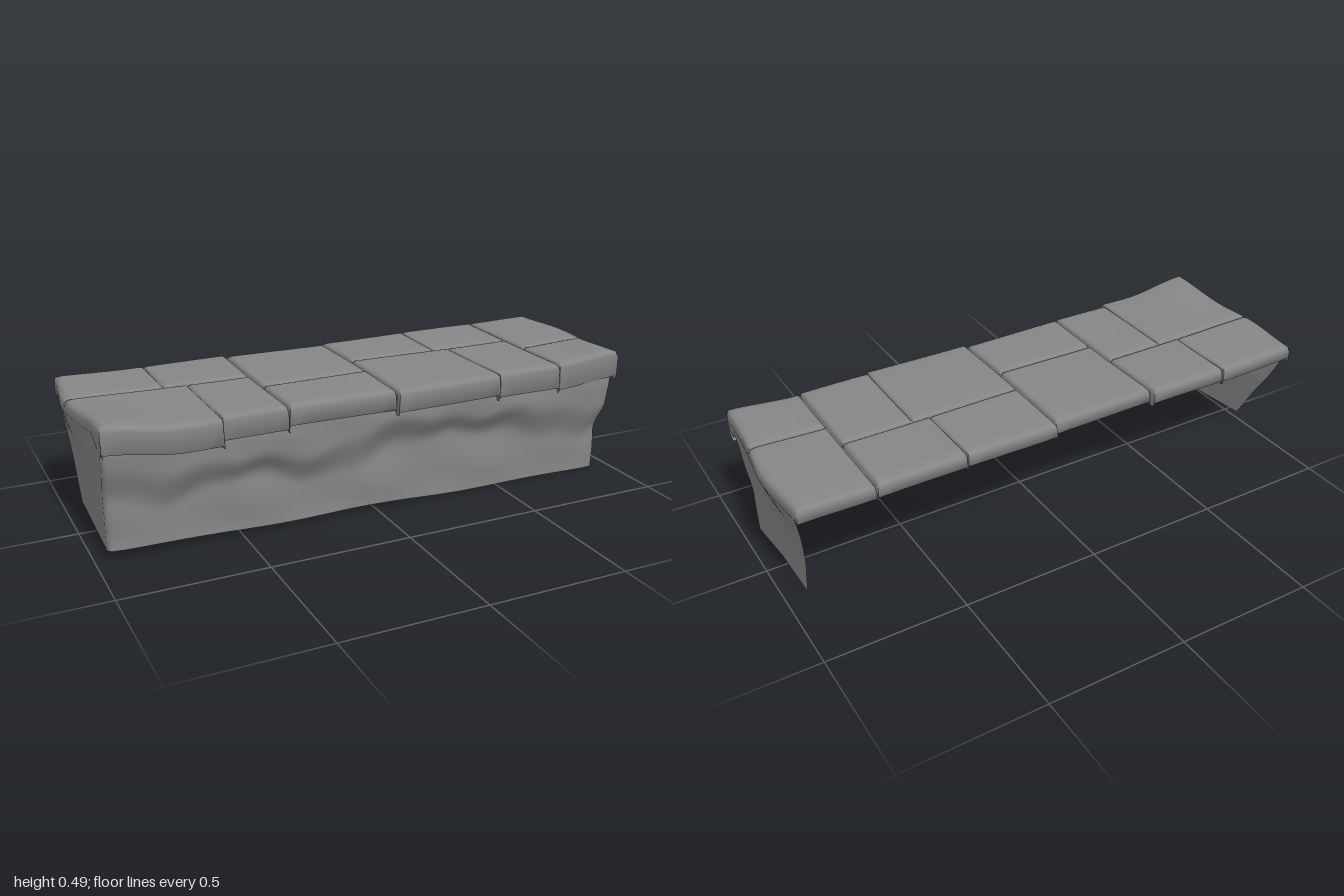
import * as THREE from 'three';

const { lerp, smoothstep } = THREE.MathUtils;
const stone = new THREE.MeshStandardMaterial({ color: 0x868686, side: THREE.DoubleSide });

// Smooth surface from a grid of points; fn(i, j) returns [x, y, z]
function gridMesh(name, nu, nv, fn) {
  const pos = [], idx = [];
  for (let i = 0; i < nu; i++) for (let j = 0; j < nv; j++) pos.push(...fn(i, j));
  for (let i = 0; i < nu - 1; i++) for (let j = 0; j < nv - 1; j++) {
    const a = i * nv + j, b = a + nv;
    idx.push(a, a + 1, b, b, a + 1, b + 1);
  }
  const g = new THREE.BufferGeometry();
  g.setAttribute('position', new THREE.Float32BufferAttribute(pos, 3));
  g.setIndex(idx);
  g.computeVertexNormals();
  const mesh = new THREE.Mesh(g, stone);
  mesh.name = name;
  return mesh;
}

// Piecewise linear lookup in [key, value] pairs sorted by rising key
function lookup(table, k) {
  if (k <= table[0][0]) return table[0][1];
  for (let i = 1; i < table.length; i++) {
    const [k0, v0] = table[i - 1], [k1, v1] = table[i];
    if (k <= k1) return lerp(v0, v1, (k - k0) / (k1 - k0));
  }
  return table[table.length - 1][1];
}

// Worn top surface, raised at the ends and most of all at the front corners
function topHeight(x, z) {
  const end = smoothstep(Math.abs(x), 0.7, 0.97);
  const corner = smoothstep(z, 0.02, 0.31) * (x < 0 ? 0.026 : 0.016);
  return 0.461 + end * (0.006 + corner) + 0.002 * Math.sin(7 * x + 1) * Math.cos(9 * z);
}

// Outward swelling of the two ends
function bulge(x, y, z) {
  const w = smoothstep(Math.abs(x), 0.75, 0.95) * smoothstep(y, 0.25, 0.42);
  return Math.sign(x) * 0.026 * w * Math.exp(-(((z + 0.09) / 0.17) ** 2));
}

// Edge profiles as [inset, drop], from the outside in
const seam = (d) => [[0, d], [0.003, d * 0.8], [0.005, d * 0.35], [0.009, d * 0.1], [0.018, 0]];
const lip = (d, inset) => [[inset, d], [0, d - 0.012], [0, 0.02], [0.006, 0.006], [0.022, 0]];

// Joints worn almost flush
const faintJoints = [-0.66, -0.58, 0.39, 0.45];
const sideEdge = (x) => Math.abs(x) > 0.9 ? lip(0.06, 0.006) : seam(faintJoints.includes(x) ? 0.009 : 0.028);

// Stations across a slab: rounded edge, plain middle, rounded edge
function stations(a, b, edgeA, edgeB) {
  const n = 8, list = edgeA.map(([i, d]) => [a + i, d]);
  const from = a + edgeA[4][0], to = b - edgeB[4][0];
  for (let k = 1; k < n; k++) list.push([lerp(from, to, k / n), 0]);
  return list.concat(edgeB.map(([i, d]) => [b - i, d]).reverse());
}

// One paving slab; its outer sides get deep lips and its inner sides seams
function slab([x0, x1, z0, z1, lipDrop]) {
  const xs = stations(x0, x1, sideEdge(x0), sideEdge(x1));
  const zs = stations(z0, z1, z0 < -0.25 ? lip(lipDrop, 0.03) : seam(0.028), z1 > 0.25 ? lip(lipDrop, 0.035) : seam(0.028));
  return gridMesh('pavingSlab', xs.length, zs.length, (i, j) => {
    const [x, dx] = xs[i], [z, dz] = zs[j];
    // the sides of the overhang are closed down to the lip
    const overhang = (i === 0 || i === xs.length - 1) && Math.abs(z) > 0.262 ? lipDrop : 0;
    const y = topHeight(x, z) - Math.max(dx, dz, overhang);
    return [x + bulge(x, 0.45, z), y, z];
  });
}

// Wall outlines by height: half widths and back edges
const halfLeft = [[0, 0.94], [0.2, 0.944], [0.32, 0.952], [0.38, 0.961], [0.42, 0.967]];
const halfRight = [[0.03, 0.957], [0.2, 0.96], [0.32, 0.964], [0.42, 0.97]];
const backLeft = [[0.065, -0.24], [0.23, -0.275], [0.29, -0.28], [0.4, -0.305], [0.44, -0.31]];
const backRight = [[0.065, -0.115], [0.23, -0.21], [0.29, -0.25], [0.4, -0.305], [0.44, -0.31]];

// Front face: an uneven overhanging ledge above a rough, hollowed lower part
function frontZ(x, y) {
  const ledge = 0.27 + 0.03 * Math.sin(5 * x + 0.6) + 0.02 * Math.sin(11 * x + 1) + 0.01 * Math.sin(27 * x);
  const spread = 0.075 + 0.03 * Math.sin(8 * x + 2);
  const over = smoothstep(y, ledge - spread, ledge + 0.05);
  const rough = 0.005 * Math.sin(6 * x + 11 * y) * Math.sin(13 * y - 5 * x) + 0.003 * Math.sin(15 * x + 18 * y);
  return lerp(0.249, 0.298, over) + rough * smoothstep(y, 0, 0.1) * (1 - smoothstep(y, 0.33, 0.4));
}

// End and front walls as one sheet, open at the back and underneath
function walls() {
  const ends = 12, front = 90, rows = 26, cols = [];
  for (let k = 0; k <= ends; k++) cols.push({ side: -1, t: k / ends });
  for (let k = 0; k <= front; k++) cols.push({ side: 0, t: k / front });
  for (let k = ends; k >= 0; k--) cols.push({ side: 1, t: k / ends });

  return gridMesh('wall', cols.length, rows, (i, j) => {
    const { side, t } = cols[i], v = j / (rows - 1);
    let bottom;
    if (side > 0) bottom = t < 0.5 ? lerp(0.063, 0.05, t * 2) : lerp(0.05, 0.002, t * 2 - 1);
    else if (side < 0) bottom = lerp(0.066, 0.034, t);
    else bottom = lerp(0.034, 0.002, t) + 0.005 * Math.sin(t * Math.PI * 5) * Math.sin(t * Math.PI);
    const y = lerp(0.44, bottom, v);
    const hl = lookup(halfLeft, y), hr = lookup(halfRight, y);
    if (side === 0) {
      // ends of the front pulled back for rounded corners
      const x = lerp(-hr + 0.012, hl - 0.012, t);
      const round = 0.005 * (1 - smoothstep(Math.min(t, 1 - t), 0, 0.025));
      return [x, y, frontZ(x, y) - round];
    }
    const x = side * (side > 0 ? hl : hr);
    const z = lerp(lookup(side > 0 ? backLeft : backRight, y), frontZ(x, y) - 0.018, t);
    return [x + bulge(x, y, z), y, z];
  });
}

export function createModel() {
  const group = new THREE.Group();
  group.name = 'stoneStep';

  // Slabs as [x0, x1, z0, z1, depth of the outer lip]
  const layout = [
    // back row
    [-0.974, -0.66, -0.332, -0.055, 0.064],
    [-0.66, -0.35, -0.33, -0.055, 0.064],
    [-0.35, 0.045, -0.312, 0.066, 0.064],
    [0.045, 0.39, -0.33, -0.06, 0.064],
    [0.39, 0.71, -0.333, -0.06, 0.064],
    [0.71, 0.971, -0.335, 0.056, 0.064],
    // front row
    [-0.974, -0.58, -0.055, 0.333, 0.105],
    [-0.58, -0.35, -0.055, 0.312, 0.095],
    [-0.35, 0.045, 0.066, 0.308, 0.084],
    [0.045, 0.45, -0.06, 0.322, 0.09],
    [0.45, 0.71, -0.06, 0.311, 0.102],
    [0.71, 0.971, 0.056, 0.303, 0.112],
  ];
  const paving = new THREE.Group();
  paving.name = 'paving';
  layout.forEach((s) => paving.add(slab(s)));
  group.add(paving, walls());
  return group;
}
